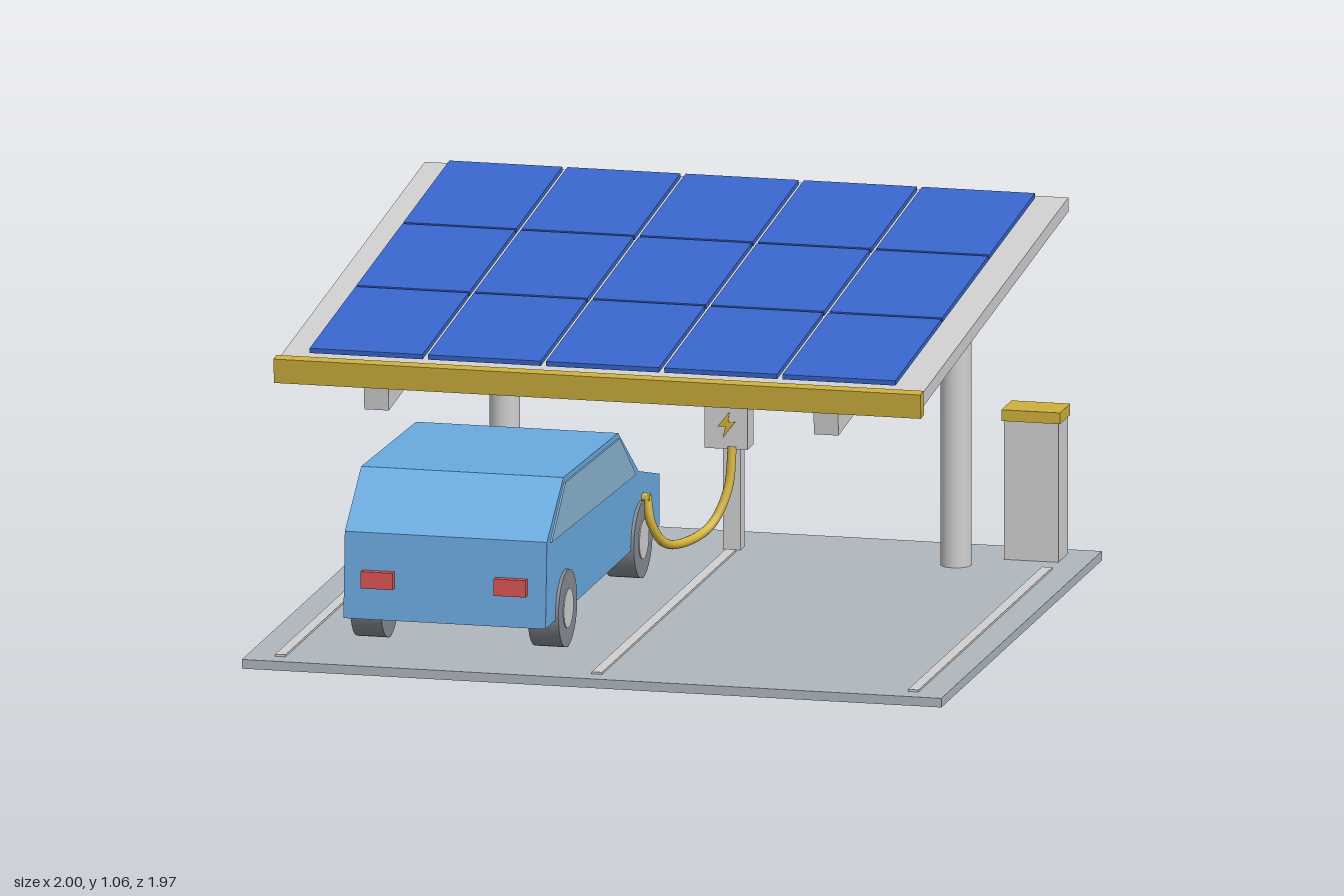
import * as THREE from 'three';

const mat = (name, color) => {
  const m = new THREE.MeshStandardMaterial({ color });
  m.name = name;
  return m;
};

export function createModel() {
  const lightGrey = mat('lightGrey', 0xd0d0d0);
  const slabGrey = mat('slabGrey', 0xafb8be);
  const gold = mat('gold', 0xcfb03c);
  const panelBlue = mat('panelBlue', 0x3966cc);
  const carBlue = mat('carBlue', 0x6aaae0);
  const glass = mat('glass', 0x88b5d0);
  const tyreGrey = mat('tyreGrey', 0x858c92);
  const red = mat('red', 0xdc5555);

  const model = new THREE.Group();
  model.name = 'solarCarport';

  const add = (parent, name, geometry, material, x = 0, y = 0, z = 0) => {
    const mesh = new THREE.Mesh(geometry, material);
    mesh.name = name;
    mesh.position.set(x, y, z);
    parent.add(mesh);
    return mesh;
  };
  const box = (parent, name, material, w, h, d, x, y, z) =>
    add(parent, name, new THREE.BoxGeometry(w, h, d), material, x, y, z);
  const group = (name) => {
    const g = new THREE.Group();
    g.name = name;
    model.add(g);
    return g;
  };
  // Side profile given as [z, y] points, extruded across x and centred
  const sideProfile = (points, width) => {
    const shape = new THREE.Shape(points.map(([z, y]) => new THREE.Vector2(z, y)));
    return new THREE.ExtrudeGeometry(shape, { depth: width, bevelEnabled: false })
      .translate(0, 0, -width / 2)
      .rotateY(-Math.PI / 2);
  };

  // Ground slab and bay lines
  box(model, 'groundSlab', slabGrey, 2, 0.026, 1.865, 0, 0.013, 0.0525);
  for (const x of [-0.905, 0, 0.905]) {
    box(model, 'bayLine', lightGrey, 0.03, 0.006, 1.555, x, 0.029, 0.1475);
  }

  // Columns
  for (const side of [-1, 1]) {
    add(model, 'column', new THREE.CylinderGeometry(0.043, 0.043, 0.86, 32), lightGrey,
      side * 0.645, 0.455, -0.624);
  }

  // Tilted canopy with beams, fascia and solar panels
  const canopy = group('canopy');
  canopy.position.set(0, 0.935, 0.035);
  canopy.rotation.x = THREE.MathUtils.degToRad(6);
  box(canopy, 'roofDeck', lightGrey, 1.84, 0.04, 1.71, 0, 0, 0);
  box(canopy, 'fascia', gold, 1.85, 0.07, 0.036, 0, -0.004, 0.873);
  for (const side of [-1, 1]) {
    box(canopy, 'roofBeam', lightGrey, 0.07, 0.095, 1.68, side * 0.643, -0.0675, 0.013);
  }
  for (let col = -2; col <= 2; col++) {
    for (let row = -1; row <= 1; row++) {
      box(canopy, 'solarPanel', panelBlue, 0.323, 0.014, 0.536,
        col * 0.338, 0.038, 0.009 + row * 0.547);
    }
  }

  // Car, parked with its tail to the front
  const car = group('car');
  car.position.x = -0.456;
  add(car, 'carBody', sideProfile([
    [0.842, 0.126], [-0.48, 0.126], [-0.48, 0.272], [-0.238, 0.334],
    [0, 0.496], [0.635, 0.512], [0.826, 0.37],
  ], 0.578), carBlue);
  for (const side of [-1, 1]) {
    add(car, 'sideWindow', sideProfile([
      [0.79, 0.362], [-0.19, 0.335], [0, 0.481], [0.63, 0.497],
    ], 0.008), glass, side * 0.29);
    box(car, 'tailLight', red, 0.092, 0.048, 0.022, side * 0.19, 0.241, 0.847);
    box(car, 'headlight', lightGrey, 0.1, 0.046, 0.02, side * 0.19, 0.226, -0.481);
    for (const z of [0.62, -0.255]) {
      const tyre = add(car, 'tyre', new THREE.CylinderGeometry(0.109, 0.109, 0.088, 32),
        tyreGrey, side * 0.254, 0.137, z);
      tyre.rotation.z = Math.PI / 2;
      const hub = add(car, 'wheelHub', new THREE.CylinderGeometry(0.056, 0.056, 0.092, 24),
        lightGrey, side * 0.255, 0.137, z);
      hub.rotation.z = Math.PI / 2;
    }
  }

  // Charging post with wall box, charge symbol and cable
  const charger = group('charger');
  box(charger, 'chargerPost', lightGrey, 0.05, 0.452, 0.046, -0.003, 0.252, -0.677);
  box(charger, 'chargerBox', lightGrey, 0.122, 0.14, 0.072, -0.003, 0.398, -0.622);
  box(charger, 'chargerCap', gold, 0.126, 0.022, 0.076, -0.003, 0.475, -0.622);
  const bolt = new THREE.Shape([
    [0.008, 0.038], [-0.026, -0.006], [-0.004, -0.006], [-0.012, -0.038],
    [0.024, 0.008], [0.003, 0.008],
  ].map(([x, y]) => new THREE.Vector2(x, y)));
  add(charger, 'chargeSymbol',
    new THREE.ExtrudeGeometry(bolt, { depth: 0.005, bevelEnabled: false }),
    gold, 0, 0.398, -0.587);
  const cablePath = new THREE.CatmullRomCurve3([
    [0.014, 0.335, -0.59], [0.008, 0.22, -0.565], [-0.025, 0.13, -0.515],
    [-0.07, 0.098, -0.43], [-0.115, 0.115, -0.32], [-0.142, 0.18, -0.28],
    [-0.155, 0.255, -0.285],
  ].map((p) => new THREE.Vector3(...p)));
  add(charger, 'chargingCable', new THREE.TubeGeometry(cablePath, 48, 0.013, 12), gold);
  const plug = add(charger, 'chargingPlug', new THREE.CylinderGeometry(0.014, 0.014, 0.03, 16),
    gold, -0.16, 0.248, -0.285);
  plug.rotation.z = Math.PI / 2;

  // Service cabinet with a rear pipe and end flange
  const cabinet = group('serviceCabinet');
  box(cabinet, 'cabinetBody', lightGrey, 0.156, 0.4, 0.11, 0.837, 0.225, -0.772);
  box(cabinet, 'cabinetCap', gold, 0.168, 0.032, 0.118, 0.837, 0.437, -0.772);
  const pipe = add(cabinet, 'rearPipe', new THREE.CylinderGeometry(0.021, 0.021, 0.15, 24),
    gold, 0.833, 0.327, -0.895);
  const flange = add(cabinet, 'pipeFlange', new THREE.CylinderGeometry(0.037, 0.037, 0.022, 24),
    lightGrey, 0.833, 0.327, -0.974);
  pipe.rotation.x = flange.rotation.x = Math.PI / 2;

  return model;
}
